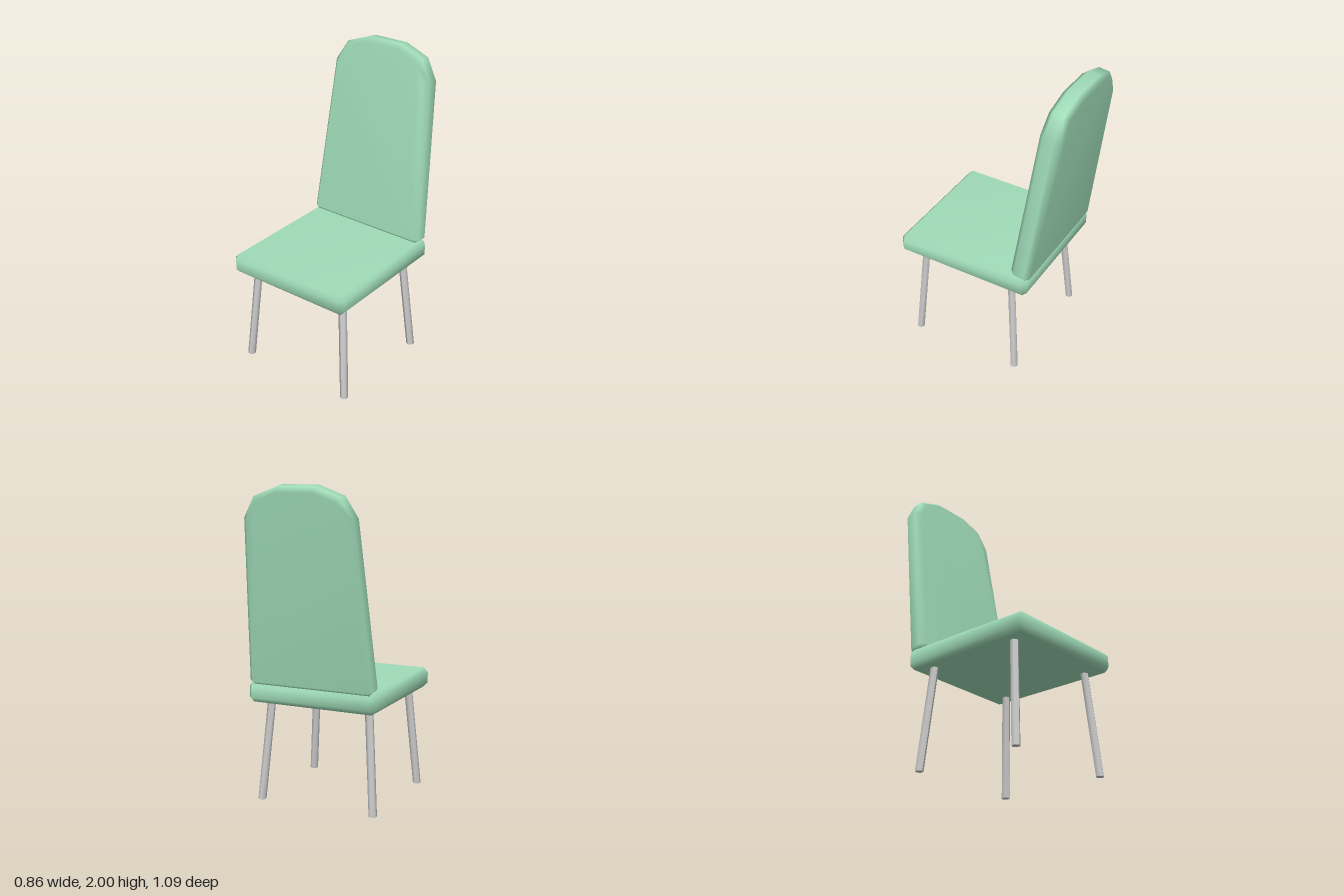
import * as THREE from 'three';
import { mergeVertices } from 'three/addons/utils/BufferGeometryUtils.js';

// Cushion from four stacked loops: inset, outer, outer, inset, with smooth normals.
// outer and inner are matching counter-clockwise outlines; depth runs along z.
function cushion(outer, inner, half, bevel) {
  const rings = [[inner, half], [outer, half - bevel], [outer, bevel - half], [inner, -half]];
  const n = outer.length;
  const positions = [];
  const indices = [];
  for (const [outline, z] of rings) {
    for (const [x, y] of outline) positions.push(x, y, z);
  }
  for (let r = 0; r < 3; r++) {
    for (let i = 0; i < n; i++) {
      const j = (i + 1) % n;
      const a = r * n + i, b = r * n + j;
      indices.push(a, a + n, b, b, a + n, b + n);
    }
  }
  for (let i = 1; i < n - 1; i++) {
    indices.push(0, i, i + 1);
    indices.push(3 * n, 3 * n + i + 1, 3 * n + i);
  }
  const geometry = new THREE.BufferGeometry();
  geometry.setAttribute('position', new THREE.Float32BufferAttribute(positions, 3));
  geometry.setIndex(indices);
  const merged = mergeVertices(geometry, 1e-4);
  merged.computeVertexNormals();
  return merged;
}

// Completes a right-hand outline (bottom to top) with its mirror image
const mirrored = (half) => [...half, ...half.map(([x, y]) => [-x, y]).reverse()];

export function createModel() {
  const group = new THREE.Group();
  const green = new THREE.MeshStandardMaterial({ color: 0xa0dcb8 });
  green.name = 'mint upholstery';
  const grey = new THREE.MeshStandardMaterial({ color: 0xcccccc });
  grey.name = 'grey metal';

  // Seat cushion, laid flat
  const seat = new THREE.Mesh(cushion(
    mirrored([[0.4, -0.455], [0.43, -0.425], [0.43, 0.425], [0.4, 0.455]]),
    mirrored([[0.4, -0.425], [0.4, -0.425], [0.4, 0.425], [0.4, 0.425]]),
    0.065, 0.03), green);
  seat.name = 'seat';
  seat.rotation.x = -Math.PI / 2;
  seat.position.set(0, 0.715, 0.095);
  group.add(seat);

  // Tapered backrest with an arched top, leaning backwards
  const backrest = new THREE.Mesh(cushion(
    mirrored([[0.39, 0], [0.415, 0.025], [0.355, 1.045], [0.28, 1.175], [0.12, 1.235]]),
    mirrored([[0.385, 0.025], [0.385, 0.025], [0.325, 1.035], [0.26, 1.15], [0.115, 1.205]]),
    0.065, 0.03), green);
  backrest.name = 'backrest';
  backrest.rotation.x = -0.145;
  backrest.position.set(0, 0.772, -0.305);
  group.add(backrest);

  // Splayed legs, sheared so that the feet stay flat on the floor
  const legHeight = 0.66;
  const addLeg = (name, side, footZ, topZ) => {
    const geometry = new THREE.CylinderGeometry(0.026, 0.026, legHeight, 6);
    geometry.translate(0, legHeight / 2, 0);
    const p = geometry.attributes.position;
    for (let i = 0; i < p.count; i++) {
      const t = p.getY(i) / legHeight;
      p.setX(i, p.getX(i) + side * (0.386 - 0.052 * t));
      p.setZ(i, p.getZ(i) + footZ + (topZ - footZ) * t);
    }
    geometry.computeVertexNormals();
    const leg = new THREE.Mesh(geometry, grey);
    leg.name = name;
    group.add(leg);
  };
  for (const side of [1, -1]) {
    const label = side > 0 ? 'Left' : 'Right';
    addLeg('front' + label + 'Leg', side, 0.462, 0.412);
    addLeg('back' + label + 'Leg', side, -0.268, -0.216);
  }

  return group;
}
